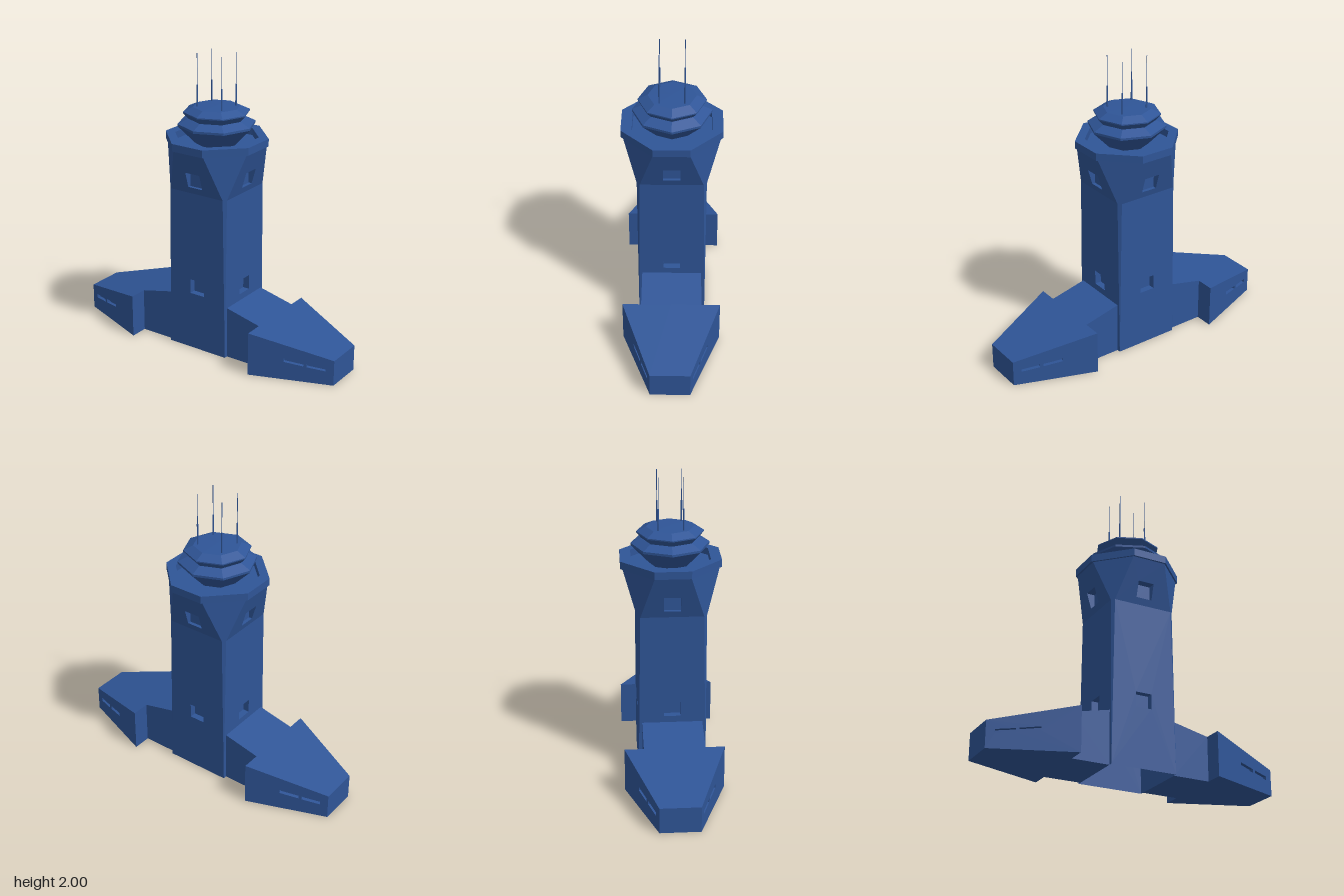
import * as THREE from 'three';
import { mergeGeometries } from 'three/addons/utils/BufferGeometryUtils.js';

const material = new THREE.MeshStandardMaterial({ color: 0x2f5597, flatShading: true, side: THREE.DoubleSide });

function mesh(name, geometry) {
  const m = new THREE.Mesh(geometry, material);
  m.name = name;
  return m;
}

// Flat convex faces, corners counter-clockwise from outside
function faces(list) {
  const pos = [];
  for (const f of list)
    for (let i = 1; i < f.length - 1; i++) pos.push(...f[0], ...f[i], ...f[i + 1]);
  const g = new THREE.BufferGeometry();
  g.setAttribute('position', new THREE.Float32BufferAttribute(pos, 3));
  g.computeVertexNormals();
  return g;
}

// Wall with recessed openings: front(u, v) places the wall, back(u, v) the recess floor
function panel(outline, holes, front, back) {
  const vec = (pts) => pts.map(([u, v]) => new THREE.Vector2(u, v));
  const shape = new THREE.Shape(vec(outline));
  for (const h of holes) shape.holes.push(new THREE.Path(vec(h)));
  let wall = new THREE.ShapeGeometry(shape);
  const p = wall.attributes.position;
  for (let i = 0; i < p.count; i++) p.setXYZ(i, ...front(p.getX(i), p.getY(i)));
  wall = wall.toNonIndexed();
  wall.deleteAttribute('uv');
  wall.computeVertexNormals();
  const recess = [];
  for (const h of holes) {
    h.forEach((a, i) => {
      const b = h[(i + 1) % 4];
      recess.push([front(...a), front(...b), back(...b), back(...a)]);
    });
    recess.push(h.map((c) => back(...c)));
  }
  return mergeGeometries([wall, faces(recess)]);
}

const rect = (x0, y0, x1, y1) => [[x0, y0], [x1, y0], [x1, y1], [x0, y1]];

// Octagon with flat sides at distance a, each axis side 2b long
const octagon = (a, b) =>
  [[a, -b], [a, b], [b, a], [-b, a], [-a, b], [-a, -b], [-b, -a], [b, -a]].map(([x, y]) => new THREE.Vector2(x, y));

function tower() {
  const g = new THREE.Group();
  g.name = 'tower';
  const W = 0.225, C = 0.205, H = 1.11, T = 1.405, A = 0.312, B = 0.115;
  const slope = (y) => W + ((y - H) * (A - W)) / (T - H);
  const shaftSide = mergeGeometries([
    panel([[-W, 0], [W, 0], [C, H], [-C, H]], [rect(-0.055, 0.4, 0.055, 0.5)],
      (u, v) => [u, v, W], (u, v) => [u, v, W - 0.045]),
    faces([[[W, 0, W], [W, H, C], [C, H, W]]]),
  ]);
  const flareSide = mergeGeometries([
    panel([[-C, H], [C, H], [B, T], [-B, T]], [rect(-0.055, 1.155, 0.055, 1.26)],
      (u, v) => [u, v, slope(v)], (u, v) => [u, v, W - 0.01]),
    faces([[[C, H, W], [W, H, C], [A, T, B], [B, T, A]]]),
  ]);
  for (let i = 0; i < 4; i++) {
    const s = mesh('shaftSide', shaftSide), f = mesh('flareSide', flareSide);
    s.rotation.y = f.rotation.y = (i * Math.PI) / 2;
    g.add(s, f);
  }
  // Parapet ring around the sunken deck
  const ring = new THREE.Shape(octagon(0.325, 0.117));
  ring.holes.push(new THREE.Path(octagon(0.255, 0.108)));
  const parapet = mesh('parapet', new THREE.ExtrudeGeometry(ring, { depth: 0.05, bevelEnabled: false }));
  parapet.rotation.x = -Math.PI / 2;
  parapet.position.y = T;
  const deck = mesh('deck', new THREE.ShapeGeometry(new THREE.Shape(octagon(0.31, B))));
  deck.rotation.x = -Math.PI / 2;
  deck.position.y = T + 0.002;
  g.add(parapet, deck);
  return g;
}

// Eight-sided control room with two outward-leaning tiers
function cab() {
  const profile = [[0.14, 1.407], [0.255, 1.525], [0.255, 1.54], [0.19, 1.57], [0.185, 1.572],
    [0.218, 1.61], [0.218, 1.618], [0.155, 1.648], [0, 1.652]];
  return mesh('controlRoom', new THREE.LatheGeometry(profile.map(([r, y]) => new THREE.Vector2(r, y)), 8));
}

function antenna(x, z) {
  const g = new THREE.Group();
  g.name = 'antenna';
  const base = mesh('antennaBase', new THREE.CylinderGeometry(0.005, 0.005, 0.15, 6));
  const whip = mesh('antennaWhip', new THREE.CylinderGeometry(0.002, 0.002, 0.21, 6));
  base.position.y = 1.715;
  whip.position.y = 1.89;
  g.add(base, whip);
  g.position.set(x, 0, z);
  return g;
}

// One quarter of the two wings (x > 0, z > 0), mirrored for the rest
function wingQuarter() {
  const X0 = 0.225, X1 = 0.475, Z0 = 0.2, Z1 = 0.325, Z2 = 0.13, Y0 = 0.355, Y1 = 0.297, Y2 = 0.175;
  const body = faces([
    [[X0, Y0, 0], [X0, Y0, Z0], [X1, Y1, Z0], [X1, Y1, 0]],
    [[X0, 0, Z0], [X1, 0, Z0], [X1, Y1, Z0], [X0, Y0, Z0]],
    [[X0, 0, 0], [X1, 0, 0], [X1, 0, Z0], [X0, 0, Z0]],
    [[X1, 0, Z0], [X1, 0, Z1], [X1, Y1, Z1], [X1, Y1, Z0]],
    [[X1, Y1, 0], [X1, Y1, Z1], [1, Y2, Z2], [1, Y2, 0]],
    [[X1, 0, 0], [1, 0, 0], [1, 0, Z2], [X1, 0, Z1]],
    [[1, 0, Z2], [1, 0, 0], [1, Y2, 0], [1, Y2, Z2]],
  ]);
  const slot = (x0, x1, y0, y1) => [[x0, y0], [x1, y1], [x1, y1 + 0.025], [x0, y0 + 0.025]];
  const z = (x) => Z1 + ((x - X1) * (Z2 - Z1)) / (1 - X1);
  const side = panel([[X1, 0], [1, 0], [1, Y2], [X1, Y1]],
    [slot(0.695, 0.815, 0.125, 0.11), slot(0.835, 0.95, 0.107, 0.095)],
    (x, y) => [x, y, z(x)], (x, y) => [x - 0.009, y, z(x) - 0.023]);
  return mergeGeometries([body, side]);
}

export function createModel() {
  const model = new THREE.Group();
  model.name = 'controlTower';
  model.add(tower(), cab());
  const quarter = wingQuarter();
  for (const sx of [1, -1])
    for (const sz of [1, -1]) {
      const w = mesh(sx > 0 ? 'leftWing' : 'rightWing', quarter);
      w.scale.set(sx, 1, sz);
      model.add(w, antenna(sx * 0.095, sz * 0.08));
    }
  return model;
}
